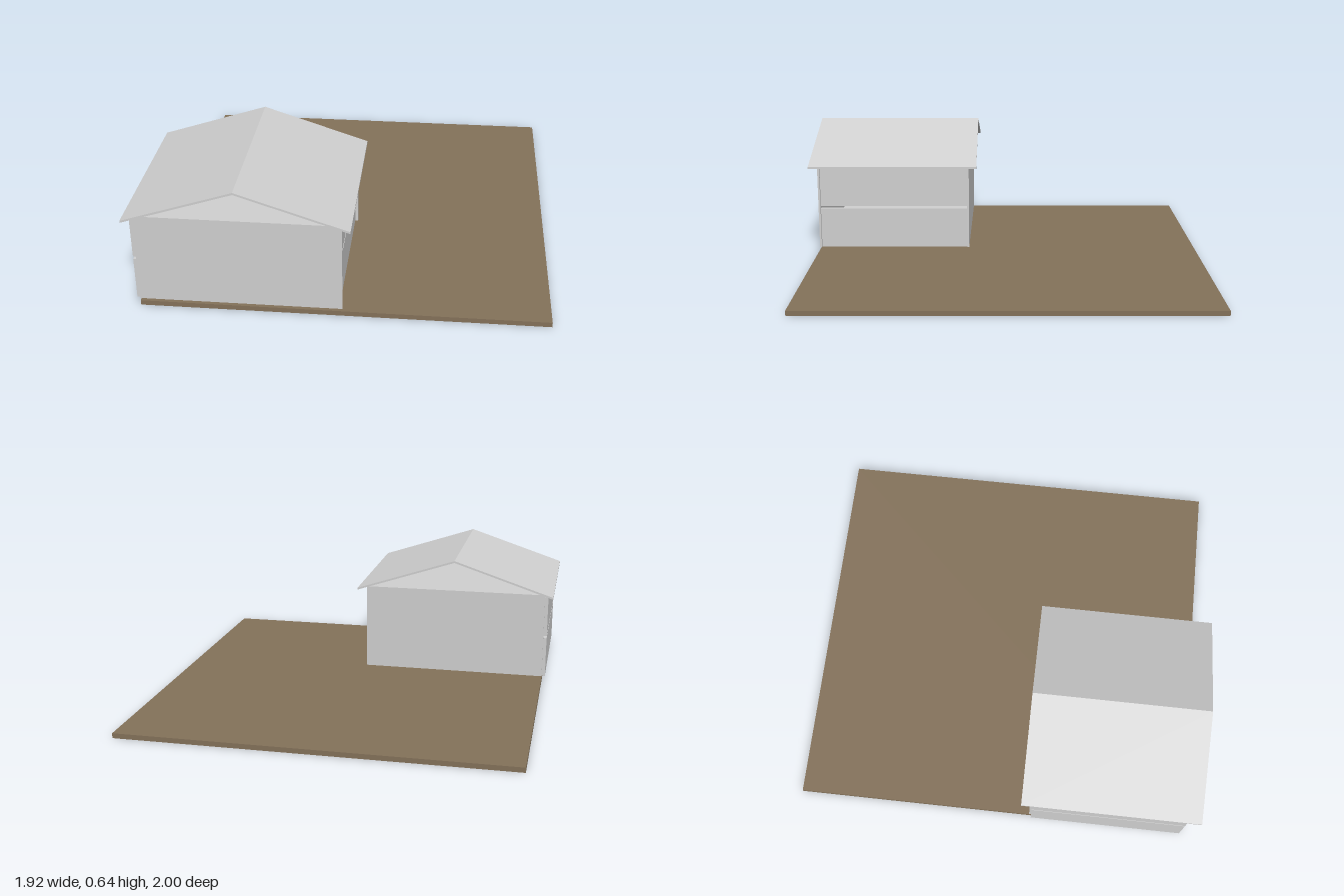
import * as THREE from 'three';

const plaster = new THREE.MeshStandardMaterial({ color: 0xd0d0d0 });
plaster.name = 'pale grey plaster';
const soil = new THREE.MeshStandardMaterial({ color: 0x84725a });
soil.name = 'brown ground';

// Box given by its minimum and maximum along each axis
function slab(name, material, [x0, x1], [y0, y1], [z0, z1]) {
  const mesh = new THREE.Mesh(new THREE.BoxGeometry(x1 - x0, y1 - y0, z1 - z0), material);
  mesh.position.set((x0 + x1) / 2, (y0 + y1) / 2, (z0 + z1) / 2);
  mesh.name = name;
  return mesh;
}

export function createModel() {
  const model = new THREE.Group();
  model.name = 'houseOnPlot';

  // Plot of land
  model.add(slab('plot', soil, [-0.92, 0.96], [0, 0.024], [-1, 0.96]));

  // Front and back walls, each with a corner strip at its open end
  const house = new THREE.Group();
  house.name = 'house';
  for (const [side, z] of [['front', [0.95, 0.96]], ['back', [0.18, 0.19]]]) {
    house.add(slab(side + 'Wall', plaster, [-0.92, 0], [0.037, 0.475], z));
    house.add(slab(side + 'Corner', plaster, [0, 0.015], [0.037, 0.475], z));
  }

  // Side walls, two stacked panels each
  for (const [side, x] of [['right', [-0.937, -0.92]], ['left', [-0.016, 0]]]) {
    house.add(slab(side + 'LowerPanel', plaster, x, [0.037, 0.243], [0.19, 0.95]));
    house.add(slab(side + 'UpperPanel', plaster, x, [0.256, 0.462], [0.19, 0.95]));
  }

  // Floor and ceiling
  house.add(slab('floor', plaster, [-0.92, 0], [0.037, 0.045], [0.19, 0.95]));
  house.add(slab('ceiling', plaster, [-0.92, 0.015], [0.464, 0.474], [0.19, 0.95]));
  model.add(house);

  // Thin gable roof, open at both ends
  const roof = new THREE.Group();
  roof.name = 'roof';
  for (const [name, eave] of [['roofRight', -0.51], ['roofLeft', 0.51]]) {
    const section = new THREE.Shape([
      new THREE.Vector2(0, 0.642), new THREE.Vector2(eave, 0.474),
      new THREE.Vector2(eave, 0.464), new THREE.Vector2(0, 0.632),
    ]);
    const slope = new THREE.Mesh(
      new THREE.ExtrudeGeometry(section, { depth: 0.86, bevelEnabled: false }), plaster);
    slope.position.set(-0.453, 0, 0.14);
    slope.name = name;
    roof.add(slope);
  }
  model.add(roof);
  return model;
}
